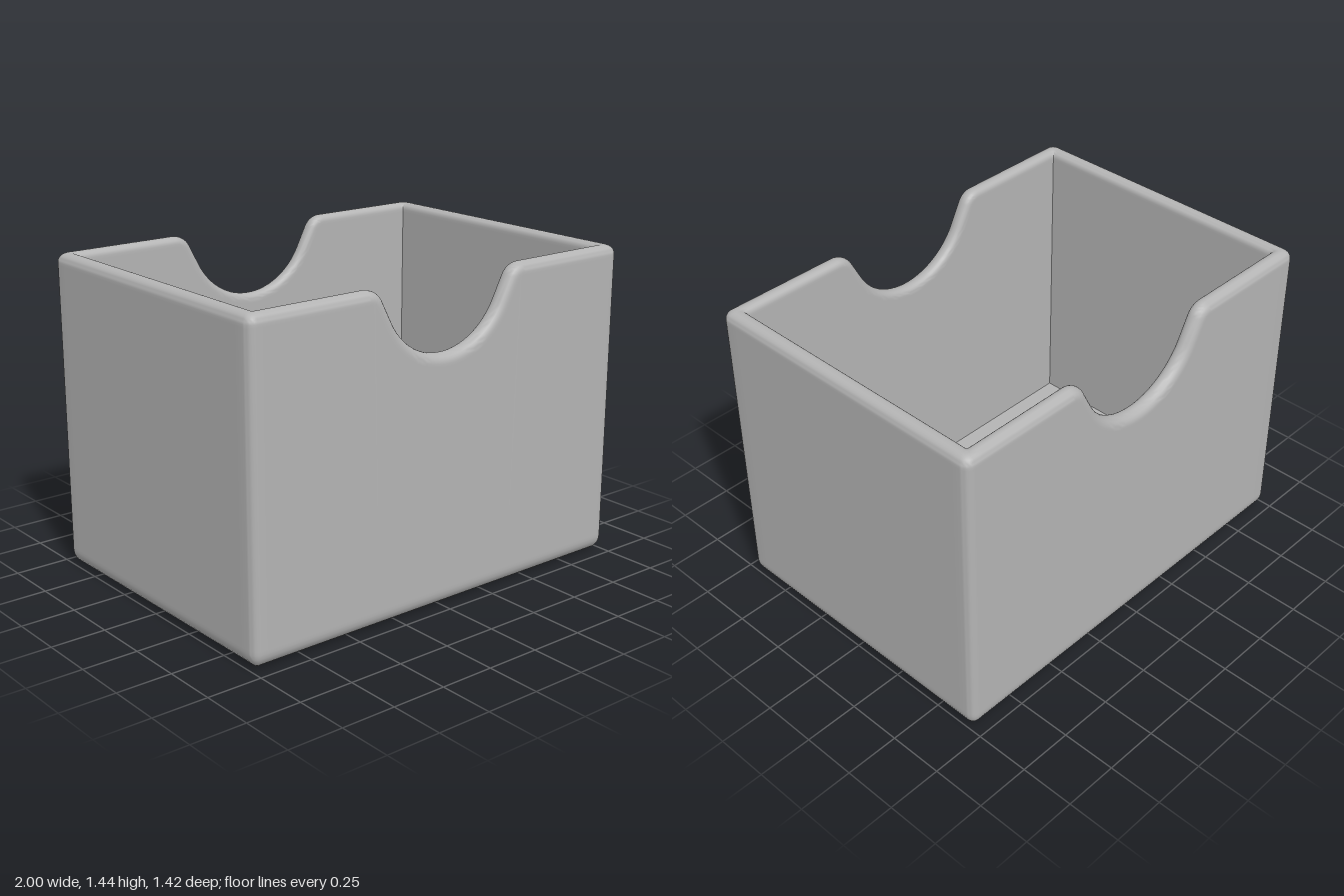
import * as THREE from 'three';
import { toCreasedNormals } from 'three/addons/utils/BufferGeometryUtils.js';

const HX = 1, HZ = 0.71, H = 1.44;      // half width, half depth, height
const WALL = 0.075, FLOOR = 0.075;      // thicknesses
const CORNER = 0.04, BASE = 0.07;       // radii of upright and bottom edges
const RIM_OUT = 0.04, RIM_IN = 0.03;    // rim radii
const STEPS = 6;

// Rim line of a notched wall, from -x to +x: position and direction into the wall
function notchPath() {
  const slope = THREE.MathUtils.degToRad(28), left = [];
  const fillet = 0.09, fx = -0.422, r = 0.33, cy = 1.45;
  left.push({ x: -HX + 0.09, y: H, nx: 0, ny: -1 }, { x: fx - 0.03, y: H, nx: 0, ny: -1 });
  for (let i = 0; i <= 10; i++) {
    const a = THREE.MathUtils.lerp(Math.PI / 2, slope, i / 10);
    const c = Math.cos(a), s = Math.sin(a);
    left.push({ x: fx + fillet * c, y: H - fillet + fillet * s, nx: -c, ny: -s });
  }
  for (let i = 0; i <= 16; i++) {
    const a = THREE.MathUtils.lerp(Math.PI + slope, Math.PI * 1.5, i / 16);
    const c = Math.cos(a), s = Math.sin(a);
    left.push({ x: r * c, y: cy + r * s, nx: c, ny: s });
  }
  const right = left.slice(0, -1).reverse().map(p => ({ ...p, x: -p.x, nx: -p.nx }));
  return [...left, ...right];
}

// Stations round the box; plan(d) is the outer outline inset by d
function makeStations() {
  const stations = [], path = notchPath();
  const top = { y: H, nx: 0, ny: -1 };
  const signs = [[1, 1], [-1, 1], [-1, -1], [1, -1]];
  signs.forEach(([sx, sz], k) => {
    for (let i = 0; i <= STEPS; i++) {
      const a = (k + i / STEPS) * Math.PI / 2;
      stations.push({
        ...top,
        inner: [sx * (HX - WALL), sz * (HZ - WALL)],
        plan: d => {
          const r = Math.max(CORNER - d, 0);
          const inset = Math.max(CORNER, d);
          return [sx * (HX - inset) + r * Math.cos(a), sz * (HZ - inset) + r * Math.sin(a)];
        },
      });
    }
    if (k % 2 === 0) {
      // Front and back walls carry the notch
      for (const p of (sz > 0 ? [...path].reverse() : path)) {
        stations.push({ ...p, inner: [p.x, sz * (HZ - WALL)], plan: d => [p.x, sz * (HZ - d)] });
      }
    } else {
      for (const z of [sz * (HZ - 0.09), -sz * (HZ - 0.09)]) {
        stations.push({ ...top, inner: [sx * (HX - WALL), z], plan: d => [sx * (HX - d), z] });
      }
    }
  });
  return stations;
}

// Cross-section at one station: underside, outer face, rounded rim, inner face
function section(st) {
  const rows = [[0, 0, 0]];
  const bottom = (d, y) => { const [x, z] = st.plan(d); rows.push([x, y, z]); };
  const rim = (t, d) => {
    const [ox, oz] = st.plan(0);
    const x = THREE.MathUtils.lerp(ox, st.inner[0], t / WALL);
    const z = THREE.MathUtils.lerp(oz, st.inner[1], t / WALL);
    rows.push([x + st.nx * d, st.y + st.ny * d, z]);
  };
  bottom(BASE + 0.015, 0);
  for (let i = 0; i <= STEPS; i++) {
    const a = i / STEPS * Math.PI / 2;
    bottom(BASE * (1 - Math.sin(a)), BASE * (1 - Math.cos(a)));
  }
  bottom(0, BASE + 0.015);
  rim(0, RIM_OUT + 0.012);
  for (let i = 0; i <= STEPS; i++) {
    const a = i / STEPS * Math.PI / 2;
    rim(RIM_OUT * (1 - Math.cos(a)), RIM_OUT * (1 - Math.sin(a)));
  }
  for (let i = 0; i <= STEPS; i++) {
    const a = i / STEPS * Math.PI / 2;
    rim(WALL - RIM_IN * (1 - Math.sin(a)), RIM_IN * (1 - Math.cos(a)));
  }
  rim(WALL, RIM_IN + 0.012);
  rows.push([st.inner[0], FLOOR, st.inner[1]]);
  return rows;
}

function shellGeometry() {
  const sections = makeStations().map(section);
  const n = sections.length, m = sections[0].length, index = [];
  for (let i = 0; i < n; i++) {
    for (let j = 0; j < m - 1; j++) {
      const a = i * m + j, b = ((i + 1) % n) * m + j;
      index.push(a, a + 1, b + 1);
      if (j > 0) index.push(a, b + 1, b);
    }
  }
  const g = new THREE.BufferGeometry();
  g.setAttribute('position', new THREE.Float32BufferAttribute(sections.flat(2), 3));
  g.setIndex(index);
  return toCreasedNormals(g, 0.6);
}

export function createModel() {
  const grey = new THREE.MeshStandardMaterial({ color: 0xb4b4b4 });
  grey.name = 'grey';
  const group = new THREE.Group();
  group.name = 'openBox';

  // Walls, rim and underside
  const shell = new THREE.Mesh(shellGeometry(), grey);
  shell.name = 'notchedShell';

  // Inside floor
  const floor = new THREE.Mesh(new THREE.PlaneGeometry(2 * (HX - WALL), 2 * (HZ - WALL)), grey);
  floor.name = 'innerFloor';
  floor.rotation.x = -Math.PI / 2;
  floor.position.y = FLOOR;

  group.add(shell, floor);
  return group;
}
